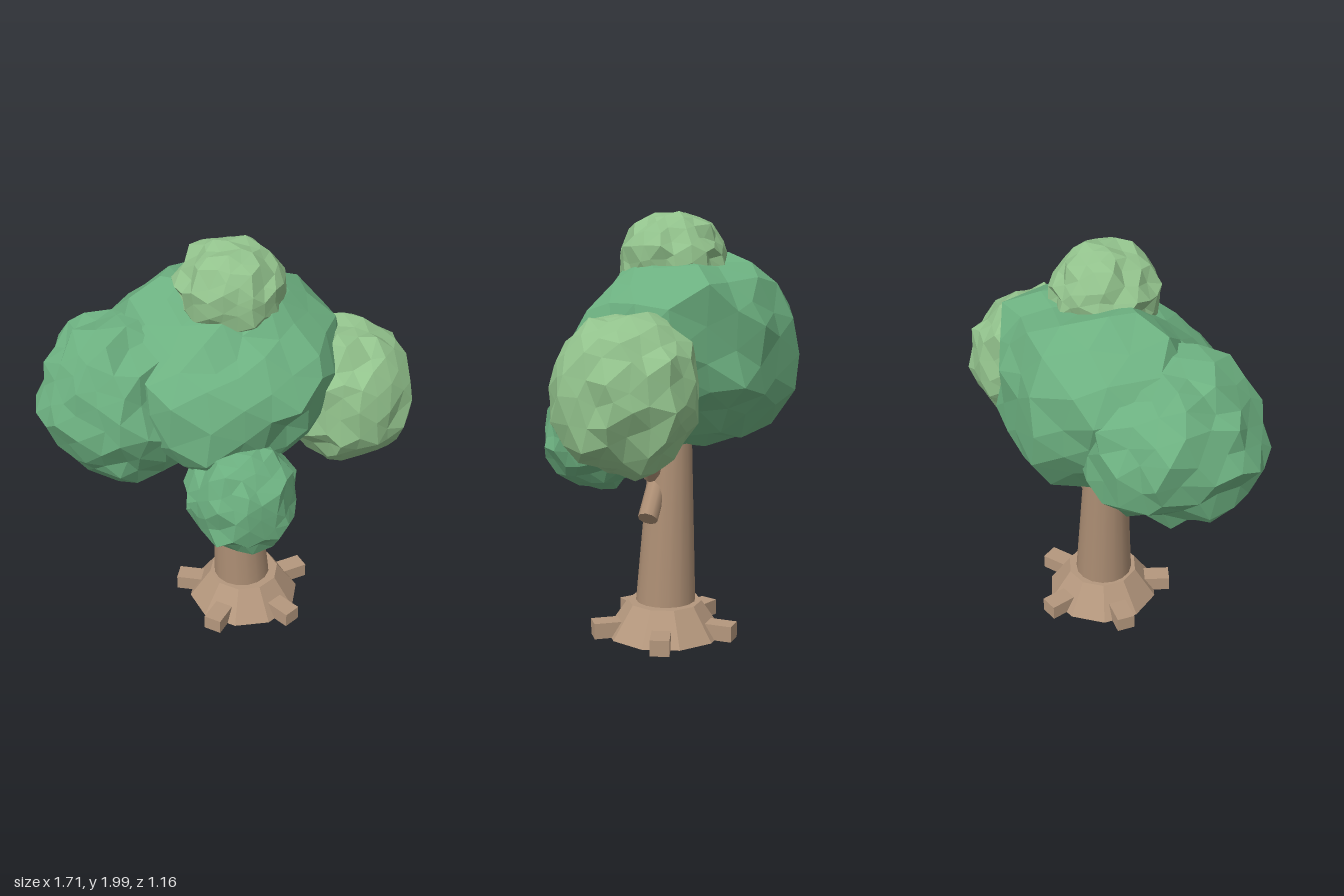
import * as THREE from 'three';

const material = (color, flatShading) => new THREE.MeshStandardMaterial({ color, flatShading });
const bark = material(0xab8d73, false);
const rootBark = material(0xb4977d, true);
const leafDark = material(0x6cb080, true);
const leafLight = material(0x92c28c, true);

// repeatable value in -1..1 for a direction, so shared corners stay joined
function noise(v, seed) {
  const q = (n) => Math.round(n * 1000) / 1000 + 0;
  const s = Math.sin(q(v.x) * 127.1 + q(v.y) * 311.7 + q(v.z) * 74.7 + seed * 53.3) * 43758.5453;
  return (s - Math.floor(s)) * 2 - 1;
}

// faceted leaf clump: rough ellipsoid with optional broad swellings or dips [x, y, z, amount]
function leafClump(name, centre, radii, mat, seed, rough, bumps = []) {
  const geo = new THREE.IcosahedronGeometry(1, 3);
  const pos = geo.attributes.position;
  const v = new THREE.Vector3();
  const swellings = bumps.map(([x, y, z, amount]) => ({ dir: new THREE.Vector3(x, y, z).normalize(), amount }));
  for (let i = 0; i < pos.count; i++) {
    v.fromBufferAttribute(pos, i).normalize();
    let r = 1 + rough * noise(v, seed);
    for (const { dir, amount } of swellings) r += amount * Math.max(0, v.dot(dir)) ** 6;
    // sideways jitter makes the facets uneven
    const jx = noise(v, seed + 1) * 0.06, jy = noise(v, seed + 2) * 0.06, jz = noise(v, seed + 3) * 0.06;
    pos.setXYZ(i, (v.x * r + jx) * radii[0], (v.y * r + jy) * radii[1], (v.z * r + jz) * radii[2]);
  }
  geo.computeVertexNormals();
  const mesh = new THREE.Mesh(geo, mat);
  mesh.name = name;
  mesh.position.set(...centre);
  return mesh;
}

// tapered round limb between two points
function limb(name, from, to, r0, r1, sides) {
  const a = new THREE.Vector3(...from), b = new THREE.Vector3(...to);
  const dir = b.clone().sub(a);
  const mesh = new THREE.Mesh(new THREE.CylinderGeometry(r1, r0, dir.length(), sides), bark);
  mesh.name = name;
  mesh.position.copy(a).add(b).multiplyScalar(0.5);
  mesh.quaternion.setFromUnitVectors(new THREE.Vector3(0, 1, 0), dir.normalize());
  return mesh;
}

export function createModel() {
  const tree = new THREE.Group();
  tree.name = 'tree';

  // trunk leans slightly, with a cut stub and a rising branch
  tree.add(limb('trunk', [0.075, 0.02, -0.074], [0.02, 0.98, -0.07], 0.151, 0.097, 16));
  tree.add(limb('cutBranch', [0.09, 0.74, -0.045], [0.23, 0.585, -0.1], 0.047, 0.047, 10));
  tree.add(limb('risingBranch', [0.12, 0.77, -0.035], [0.34, 1.06, -0.2], 0.047, 0.042, 10));

  // flared foot with five square root ends
  const foot = new THREE.Group();
  foot.name = 'rootFoot';
  foot.position.set(0.08, 0, -0.077);
  const flare = new THREE.Mesh(new THREE.CylinderGeometry(0.178, 0.285, 0.155, 10), rootBark);
  flare.name = 'rootFlare';
  flare.position.y = 0.0775;
  foot.add(flare);
  for (let i = 0; i < 5; i++) {
    const angle = Math.PI + (i * Math.PI * 2) / 5;
    const root = new THREE.Mesh(new THREE.BoxGeometry(0.16, 0.075, 0.09), rootBark);
    root.name = 'root' + (i + 1);
    root.position.set(Math.cos(angle) * 0.272, 0.0376, Math.sin(angle) * 0.272);
    root.rotation.y = -angle;
    foot.add(root);
  }
  tree.add(foot);

  // crown
  tree.add(
    leafClump('mainCrown', [-0.01, 1.325, -0.06], [0.49, 0.445, 0.455], leafDark, 1, 0.065, [
      [0, 0.7, -0.7, 0.2], [-0.35, -0.55, -0.75, 0.15], [-0.7, 0.7, -0.05, 0.24], [0.2, 0.85, 0.45, -0.09],
      [0.8, 0.45, 0, 0.1], [0.6, -0.7, -0.4, -0.13], [-0.75, 0.1, -0.65, 0.24], [0.7, 0.2, -0.65, 0.2],
      [-0.1, -0.05, 1, 0.13], [0.6, 0, 0.8, -0.05],
    ]),
    leafClump('rightClump', [-0.485, 1.27, 0.075], [0.36, 0.385, 0.395], leafDark, 5, 0.07, [
      [0.75, -0.6, 0.3, 0.1], [-0.3, 0.1, -0.9, 0.1], [0.3, 0.9, 0, 0.05],
    ]),
    leafClump('frontClump', [0.125, 0.94, 0.325], [0.25, 0.277, 0.247], leafDark, 9, 0.06),
    leafClump('leftClump', [0.545, 1.205, -0.245], [0.3, 0.355, 0.33], leafLight, 13, 0.06),
    leafClump('topClump', [0.01, 1.765, -0.07], [0.248, 0.23, 0.237], leafLight, 17, 0.065),
  );
  return tree;
}
